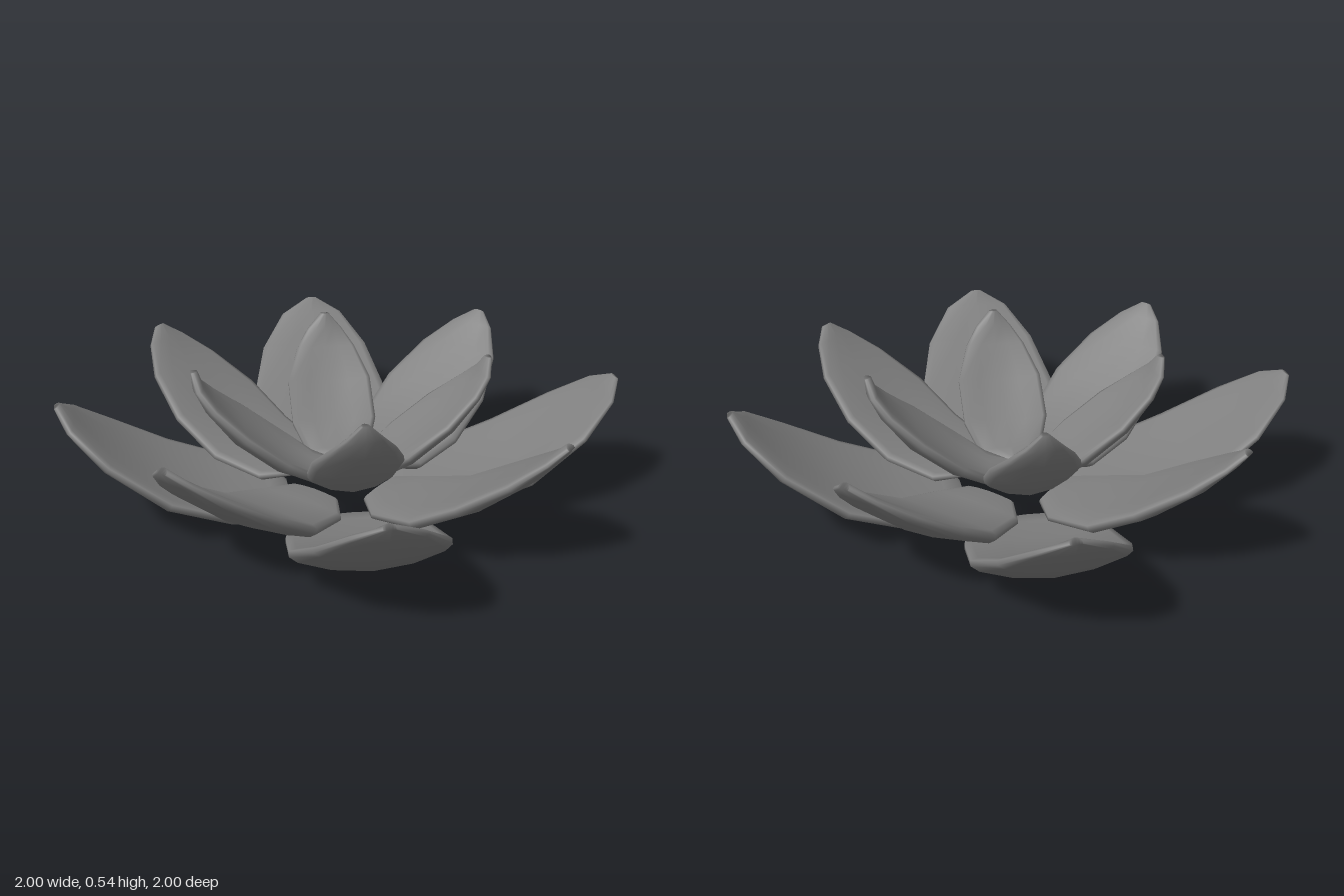
import * as THREE from 'three';

const material = new THREE.MeshStandardMaterial({ color: 0x808080 });
const ACROSS = [-1, -0.9, -0.5, 0, 0.5, 0.9, 1];

// A thick, cupped petal pointing along +z.
// Each station is [distance from centre, underside height, half width, thickness].
function petalGeometry(stations, cup, skew) {
  const n = ACROSS.length, ring = n * 2;
  const positions = [], index = [];
  stations.forEach(([r, y, w, t], i) => {
    const a = stations[Math.max(i - 1, 0)];
    const b = stations[Math.min(i + 1, stations.length - 1)];
    const length = Math.hypot(b[0] - a[0], b[1] - a[1]);
    const nz = -(b[1] - a[1]) / length, ny = (b[0] - a[0]) / length;
    const shift = skew * (i / (stations.length - 1)) ** 2;
    const rim = cup * w * w;
    const point = (u, h) => positions.push(u * w + shift, y + ny * h, r + nz * h);
    // underside, then the flatter upper face back again
    ACROSS.forEach((u) => point(u, rim * u * u + (Math.abs(u) === 1 ? t * 0.12 : 0)));
    [...ACROSS].reverse().forEach((u) => {
      const top = t + (rim + t * 0.5 - t) * u * u;
      point(u, Math.abs(u) === 1 ? top - t * 0.12 : top);
    });
  });
  const quad = (a, b, c, d) => index.push(a, b, c, a, c, d);
  for (let i = 0; i < stations.length - 1; i++) {
    for (let j = 0; j < ring; j++) {
      const k = (j + 1) % ring, p = i * ring, q = p + ring;
      quad(p + j, p + k, q + k, q + j);
    }
  }
  // close the base and the tip
  const end = (stations.length - 1) * ring;
  for (let j = 0; j < n - 1; j++) {
    const k = ring - 1 - j;
    quad(j, k, k - 1, j + 1);
    quad(end + j, end + j + 1, end + k - 1, end + k);
  }
  const geometry = new THREE.BufferGeometry();
  geometry.setAttribute('position', new THREE.Float32BufferAttribute(positions, 3));
  geometry.setIndex(index);
  geometry.computeVertexNormals();
  return geometry;
}

// Four equal petals around the centre
function petalRing(name, geometry, startAngle) {
  const group = new THREE.Group();
  group.name = name + 's';
  for (let i = 0; i < 4; i++) {
    const petal = new THREE.Mesh(geometry, material);
    petal.name = name;
    petal.rotation.y = startAngle + i * Math.PI / 2;
    group.add(petal);
  }
  return group;
}

export function createModel() {
  const model = new THREE.Group();
  model.name = 'flower';

  const outer = petalGeometry([
    [0.19, 0.012, 0.12, 0.04], [0.26, 0.002, 0.215, 0.06], [0.43, 0.015, 0.255, 0.075],
    [0.66, 0.09, 0.265, 0.075], [0.86, 0.245, 0.21, 0.06], [0.965, 0.37, 0.12, 0.04],
    [1.0, 0.43, 0.02, 0.025],
  ], 0.8, -0.02);

  const middle = petalGeometry([
    [0.16, 0.08, 0.1, 0.04], [0.25, 0.05, 0.175, 0.06], [0.45, 0.08, 0.21, 0.075],
    [0.64, 0.195, 0.215, 0.07], [0.79, 0.325, 0.16, 0.055], [0.87, 0.42, 0.085, 0.035],
    [0.905, 0.47, 0.02, 0.025],
  ], 0.8, -0.02);

  const inner = petalGeometry([
    [0.02, 0.12, 0.02, 0.055], [0.11, 0.1, 0.11, 0.07], [0.25, 0.16, 0.155, 0.07],
    [0.4, 0.28, 0.155, 0.065], [0.49, 0.4, 0.11, 0.05], [0.525, 0.475, 0.065, 0.04],
    [0.53, 0.535, 0.015, 0.025],
  ], 2.2, -0.01);

  model.add(petalRing('outerPetal', outer, 0));
  model.add(petalRing('middlePetal', middle, Math.PI / 4));
  model.add(petalRing('innerPetal', inner, 0));
  return model;
}
